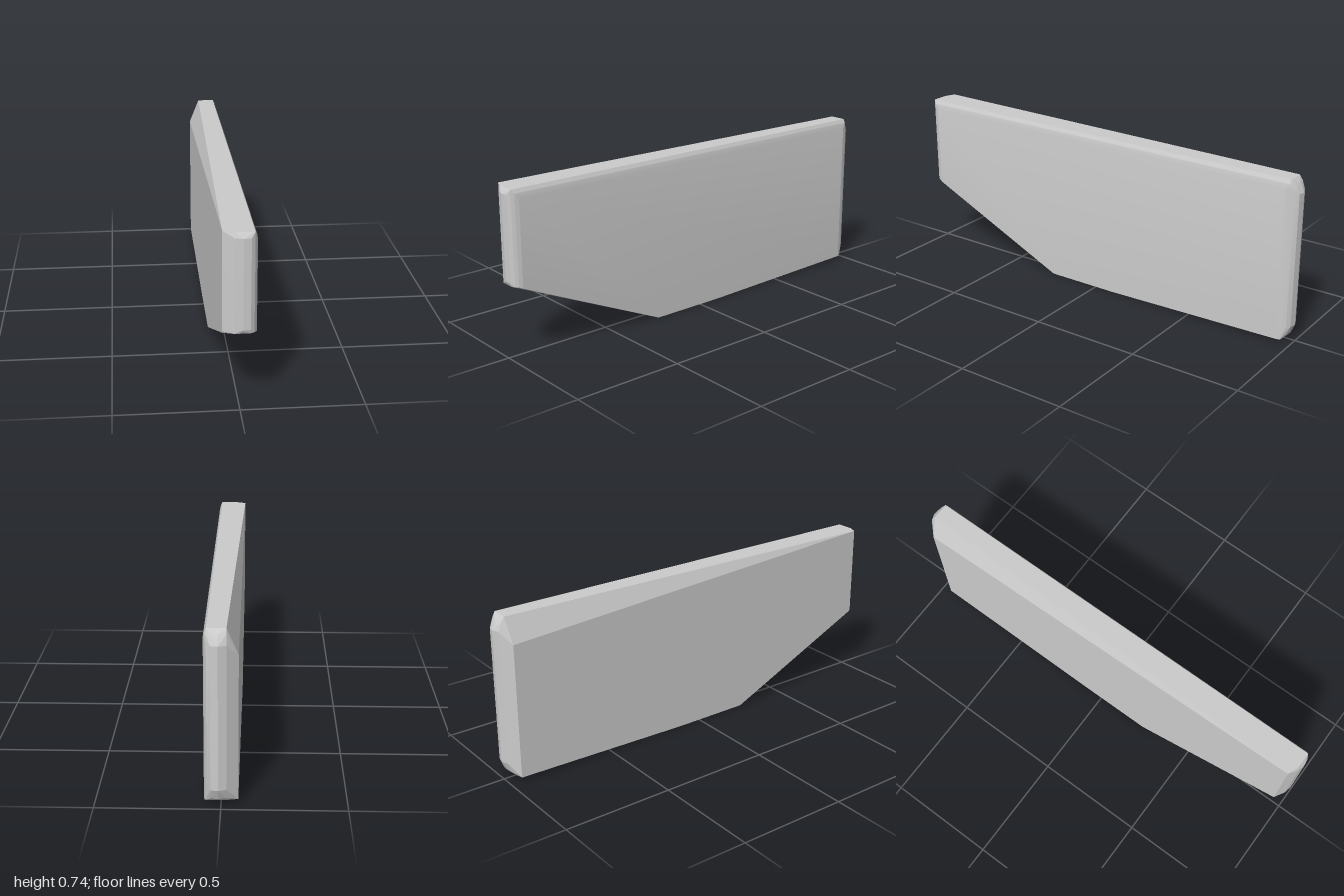
import * as THREE from 'three';
import { ConvexGeometry } from 'three/addons/geometries/ConvexGeometry.js';
import { toCreasedNormals } from 'three/addons/utils/BufferGeometryUtils.js';

const TOP = 0.742;

// Side outline of the slab at one x: end positions and top heights vary per layer
function outline({ x, front, back, topFront = TOP, topBack = TOP }) {
  const frontCorner = Math.min(front, 0.985);
  const backCorner = Math.max(back, -0.96);
  const slopeY = z => (z - 0.25) * 0.45; // rising underside towards the front
  return [
    [frontCorner, topFront], [front, topFront - 0.022],
    [front, 0.345], [Math.min(front, 0.992), 0.328], [Math.min(front, 0.96), slopeY(0.96)],
    [0.25, 0], [-0.1, 0],
    [backCorner, 0.02], [(back + backCorner) / 2, 0.035], [back, 0.08],
    [back, topBack - 0.06], [(back + backCorner) / 2, topBack - 0.02], [backCorner, topBack],
  ].map(([z, y]) => new THREE.Vector3(x, y, z));
}

export function createModel() {
  const group = new THREE.Group();
  group.name = 'panel';

  // Layers across the thickness; the -x face drops towards the back, the +x face has a rounded top edge
  const layers = [
    { x: -0.068, front: 0.965, back: -0.95, topBack: 0.63 },
    { x: -0.022, front: 0.993, back: -0.988 },
    { x: 0.01, front: 1, back: -1 },
    { x: 0.04, front: 0.996, back: -0.994 },
    { x: 0.055, front: 0.985, back: -0.98 },
    { x: 0.063, front: 0.972, back: -0.965, topFront: 0.725, topBack: 0.725 },
    { x: 0.068, front: 0.955, back: -0.945, topFront: 0.7, topBack: 0.7 },
  ];
  const geometry = toCreasedNormals(new ConvexGeometry(layers.flatMap(outline)), 0.2);

  const slab = new THREE.Mesh(geometry, new THREE.MeshStandardMaterial({ color: 0xcccccc }));
  slab.name = 'slab';
  group.add(slab);
  return group;
}
